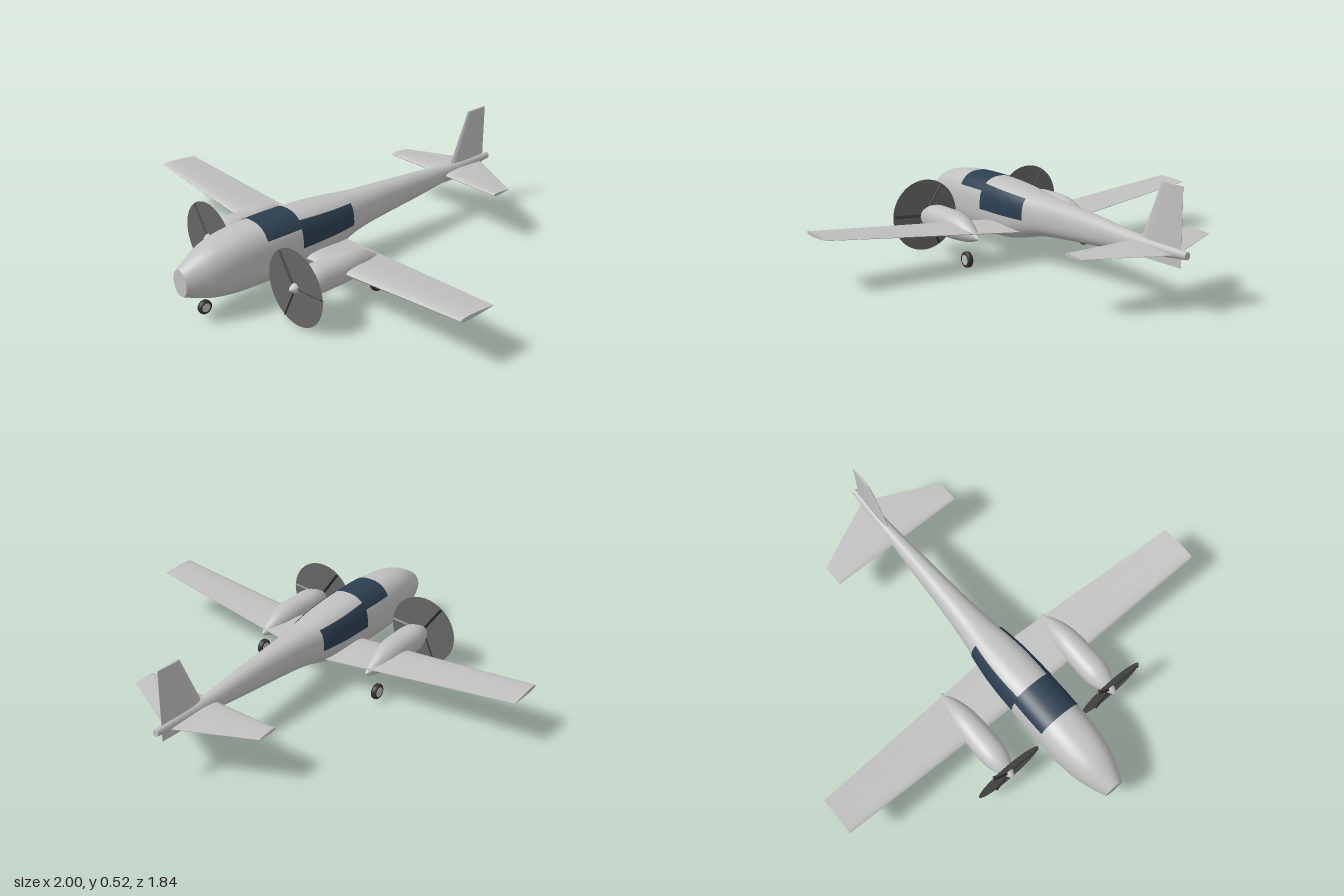
import * as THREE from 'three';
import { mergeVertices, toCreasedNormals } from 'three/addons/utils/BufferGeometryUtils.js';

const mat = (name, color, extra = {}) => Object.assign(new THREE.MeshStandardMaterial({ color, ...extra }), { name });

// Smooth body from stations [z, centre y, half height, half width, roundness]
function makeBody(stations) {
  const curve = new THREE.CubicInterpolant(stations.map((s) => s[0]), stations.flatMap((s) => s.slice(1)), 4);
  const section = (z) => Array.from(curve.evaluate(z));
  const bend = (v, p) => Math.sign(v) * Math.abs(v) ** p;
  const point = (z, t, off = 0) => {
    const [cy, ry, rx, n] = section(z);
    return [(rx + off) * bend(Math.sin(t), 2 / n), cy + (ry + off) * bend(Math.cos(t), 2 / n), z];
  };
  // Angle, measured from the top, at which the section reaches a height
  const angleAt = (z, y) => {
    const [cy, ry, , n] = section(z);
    return Math.acos(bend(THREE.MathUtils.clamp((y - cy) / ry, -1, 1), n / 2));
  };
  // Surface patch between two z values and two angle functions
  const patch = (z0, z1, from, to, nz, nt, off = 0) => {
    const pos = [], index = [];
    for (let i = 0; i <= nz; i++) {
      const z = z0 + ((z1 - z0) * i) / nz, a = from(z), b = to(z);
      for (let j = 0; j <= nt; j++) pos.push(...point(z, a + ((b - a) * j) / nt, off));
    }
    for (let i = 0; i < nz; i++) {
      for (let j = 0; j < nt; j++) {
        const a = i * (nt + 1) + j, b = a + nt + 1;
        index.push(a, b, a + 1, b, b + 1, a + 1);
      }
    }
    let g = new THREE.BufferGeometry();
    g.setAttribute('position', new THREE.Float32BufferAttribute(pos, 3));
    g.setIndex(index);
    g = mergeVertices(g, 1e-5);
    g.computeVertexNormals();
    return g;
  };
  const skin = (nz, nt) => patch(stations[0][0], stations.at(-1)[0], () => -Math.PI, () => Math.PI, nz, nt);
  // Flat end plate
  const cap = (z, facing) => {
    const pts = Array.from({ length: 40 }, (_, i) => new THREE.Vector2(...point(z, (i / 40) * Math.PI * 2)));
    const g = new THREE.ShapeGeometry(new THREE.Shape(pts));
    if (facing < 0) g.rotateY(Math.PI);
    return g.translate(0, 0, z);
  };
  return { angleAt, patch, skin, cap };
}

// Aerofoil swept along s = -1..1; place(u, v, s) gives the final position
function makeAerofoil(place) {
  const half = [[0.03, 0.25], [0.12, 0.42], [0.3, 0.5], [0.6, 0.36]];
  const shape = new THREE.Shape();
  shape.moveTo(0, 0);
  half.forEach(([u, v]) => shape.lineTo(u, -v));
  shape.lineTo(1, -0.04);
  shape.lineTo(1, 0.04);
  half.reverse().forEach(([u, v]) => shape.lineTo(u, v));
  const g = new THREE.ExtrudeGeometry(shape, { depth: 2, steps: 2, bevelEnabled: false }).translate(0, 0, -1);
  const p = g.attributes.position;
  for (let i = 0; i < p.count; i++) p.setXYZ(i, ...place(p.getX(i), p.getY(i), p.getZ(i)));
  g.computeVertexNormals();
  return toCreasedNormals(g, 0.7);
}

export function createModel() {
  const model = new THREE.Group();
  const paint = mat('light grey paint', 0xc0c0c0);
  const glass = mat('dark blue glass', 0x2c3e50, { side: THREE.DoubleSide });
  const dark = mat('dark rubber', 0x333333);
  const blur = mat('propeller disc grey', 0x666666, { side: THREE.DoubleSide });
  const add = (name, geometry, material, parent = model) => {
    const mesh = new THREE.Mesh(geometry, material);
    mesh.name = name;
    parent.add(mesh);
    return mesh;
  };
  const { lerp } = THREE.MathUtils;

  // Fuselage
  const body = makeBody([
    [-0.92, 0.255, 0.016, 0.014, 2], [-0.6, 0.244, 0.042, 0.033, 2.1], [-0.4, 0.242, 0.062, 0.047, 2.2],
    [-0.2, 0.24, 0.077, 0.06, 2.3], [0, 0.235, 0.094, 0.08, 2.4], [0.1, 0.228, 0.112, 0.097, 2.5],
    [0.2, 0.222, 0.129, 0.109, 2.5], [0.35, 0.22, 0.139, 0.115, 2.5], [0.6, 0.218, 0.138, 0.115, 2.5],
    [0.7, 0.215, 0.131, 0.109, 2.5], [0.8, 0.21, 0.113, 0.092, 2.3], [0.88, 0.203, 0.08, 0.064, 2.1],
    [0.92, 0.2, 0.06, 0.047, 2],
  ]);
  add('fuselage', body.skin(70, 48), paint);
  add('noseCap', body.cap(0.92, 1), paint);
  add('tailCap', body.cap(-0.92, -1), paint);

  // Windscreen wraps over the roof, side windows sit behind it
  const sill = (z) => body.angleAt(z, 0.3);
  add('windscreen', body.patch(0.365, 0.55, (z) => -sill(z), sill, 10, 32, 0.002), glass);
  const upper = (z) => body.angleAt(z, lerp(0.312, 0.332, (z - 0.06) / 0.31));
  const lower = (z) => body.angleAt(z, 0.214);
  add('leftWindow', body.patch(0.06, 0.37, upper, lower, 14, 12, 0.002), glass);
  add('rightWindow', body.patch(0.06, 0.37, (z) => -lower(z), (z) => -upper(z), 14, 12, 0.002), glass);

  // Wing, tailplane and fin
  add('wing', makeAerofoil((u, v, s) => {
    const a = Math.abs(s);
    return [s, lerp(0.143, 0.24, a) + v * lerp(0.046, 0.02, a), 0.348 - u * lerp(0.262, 0.182, a)];
  }), paint);
  add('tailplane', makeAerofoil((u, v, s) => {
    const a = Math.abs(s);
    return [s * 0.34, 0.245 + v * lerp(0.028, 0.014, a), -0.588 - u * lerp(0.272, 0.105, a)];
  }), paint);
  add('fin', makeAerofoil((u, v, s) => {
    const lead = s < 0 ? lerp(-0.642, -0.575, -s) : lerp(-0.642, -0.765, s);
    const y = s < 0 ? lerp(0.25, 0.197, -s) : lerp(0.25, 0.523, s);
    return [-v * (s > 0 ? 0.013 : 0.02), y, lerp(lead, -0.885, u)];
  }), paint);

  // Wheel with a pale hub on each face
  const addWheel = (name, x, y, z, r, width) => {
    const wheel = new THREE.Group();
    wheel.name = name;
    wheel.position.set(x, y, z);
    const w = width / 2;
    const profile = [[0.5 * r, -w * 0.8], [0.8 * r, -w], [0.95 * r, -w * 0.7], [r, 0], [0.95 * r, w * 0.7],
      [0.8 * r, w], [0.5 * r, w * 0.8]].map(([a, b]) => new THREE.Vector2(a, b));
    add('tyre', new THREE.LatheGeometry(profile, 28).rotateZ(Math.PI / 2), dark, wheel);
    add('hub', new THREE.CylinderGeometry(0.62 * r, 0.62 * r, width * 0.96, 24).rotateZ(Math.PI / 2), paint, wheel);
    model.add(wheel);
  };
  addWheel('noseWheel', 0, 0.049, 0.81, 0.032, 0.024);

  // Engines, propellers and main wheels
  const nacelle = makeBody([
    [0.095, 0.153, 0.006, 0.006, 2], [0.15, 0.162, 0.034, 0.03, 2], [0.2, 0.171, 0.052, 0.046, 2],
    [0.27, 0.177, 0.063, 0.058, 2.1], [0.38, 0.177, 0.065, 0.062, 2.2], [0.48, 0.176, 0.061, 0.059, 2.2],
    [0.53, 0.174, 0.044, 0.045, 2], [0.568, 0.172, 0.022, 0.022, 2],
  ]).skin(36, 32);
  for (const [side, x] of [['left', 0.3], ['right', -0.3]]) {
    add(side + 'Nacelle', nacelle, paint).position.x = x;
    const prop = new THREE.Group();
    prop.name = side + 'Propeller';
    prop.position.set(x, 0.172, 0.568);
    add('propellerDisc', new THREE.CircleGeometry(0.171, 48), blur, prop);
    const spinner = [[0.024, -0.012], [0.022, 0.004], [0.014, 0.02], [0, 0.034]].map(([a, b]) => new THREE.Vector2(a, b));
    add('spinner', new THREE.LatheGeometry(spinner, 24).rotateX(Math.PI / 2), paint, prop);
    for (let i = 0; i < 3; i++) {
      const blade = new THREE.BoxGeometry(0.158, 0.018, 0.005).rotateX(0.75).translate(0.087, 0, 0);
      add('blade', blade, dark, prop).rotation.z = 0.07 + (i * Math.PI * 2) / 3;
    }
    model.add(prop);
    addWheel(side + 'MainWheel', Math.sign(x) * 0.333, 0.053, 0.143, 0.037, 0.028);
  }
  return model;
}
